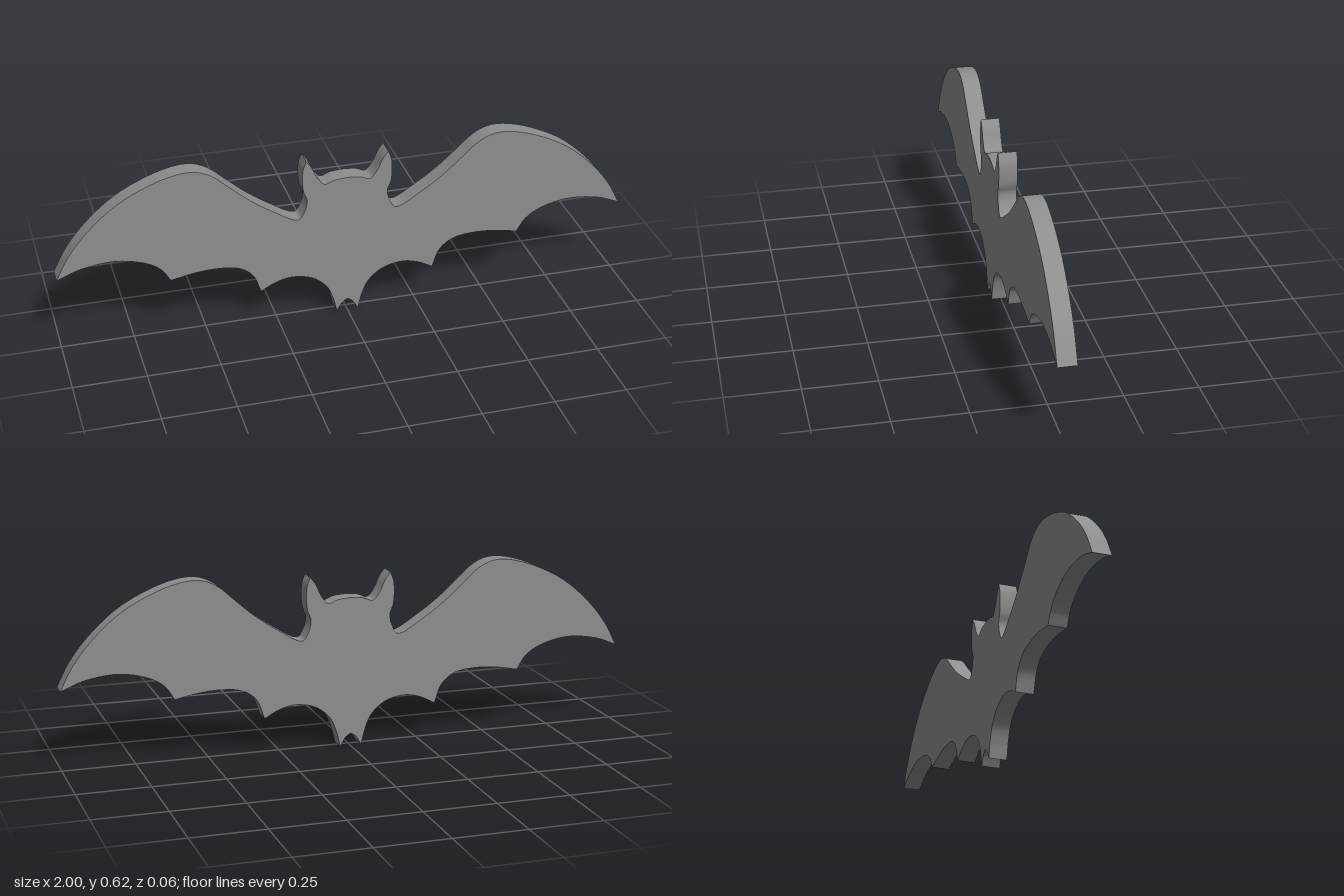
import * as THREE from 'three';
import { toCreasedNormals } from 'three/addons/utils/BufferGeometryUtils.js';

const DEPTH = 0.064;

// Smooth arcs of the left half (+x), each ending at a sharp corner
const ARCS = [
  // crown and inner ear
  [[0, 0.526], [0.045, 0.522], [0.08, 0.511], [0.105, 0.54], [0.124, 0.58], [0.143, 0.606]],
  // outer ear, cheek, shoulder and upper wing edge
  [[0.143, 0.606], [0.155, 0.57], [0.154, 0.495], [0.141, 0.455], [0.153, 0.41], [0.172, 0.387],
    [0.268, 0.438], [0.34, 0.489], [0.41, 0.55], [0.46, 0.594], [0.505, 0.617], [0.555, 0.623],
    [0.65, 0.602], [0.784, 0.537], [0.89, 0.446], [0.955, 0.365], [1, 0.282]],
  // three scallops of the lower wing edge
  [[1, 0.282], [0.917, 0.313], [0.8, 0.325], [0.7, 0.301], [0.65, 0.269], [0.618, 0.221]],
  [[0.618, 0.221], [0.54, 0.236], [0.458, 0.241], [0.383, 0.23], [0.335, 0.194], [0.308, 0.126]],
  [[0.308, 0.126], [0.255, 0.153], [0.2, 0.165], [0.127, 0.15], [0.075, 0.107], [0.052, 0.056], [0.038, 0]],
  // notch between the feet
  [[0.038, 0], [0.018, 0.033], [0, 0.045]],
];

// Samples every arc into one run of points, dropping the shared corners
function halfOutline() {
  const points = [];
  for (const arc of ARCS) {
    const curve = new THREE.CatmullRomCurve3(arc.map(([x, y]) => new THREE.Vector3(x, y, 0)));
    const samples = curve.getPoints((arc.length - 1) * 5);
    if (points.length) samples.shift();
    points.push(...samples.map((p) => new THREE.Vector2(p.x, p.y)));
  }
  return points;
}

export function createModel() {
  const group = new THREE.Group();
  group.name = 'bat';

  // Full silhouette: one half plus its mirror, without repeating the axis points
  const half = halfOutline();
  const mirrored = half.slice(1, -1).reverse().map((p) => new THREE.Vector2(-p.x, p.y));
  const shape = new THREE.Shape([...half, ...mirrored]);

  // Flat dark grey plate with smooth curved sides and sharp rims
  const plate = new THREE.ExtrudeGeometry(shape, { depth: DEPTH, bevelEnabled: false });
  plate.translate(0, 0, -DEPTH / 2);
  const body = new THREE.Mesh(
    toCreasedNormals(plate, Math.PI / 5),
    new THREE.MeshStandardMaterial({ color: 0x8e8e8e }),
  );
  body.name = 'batSilhouette';
  group.add(body);
  return group;
}
